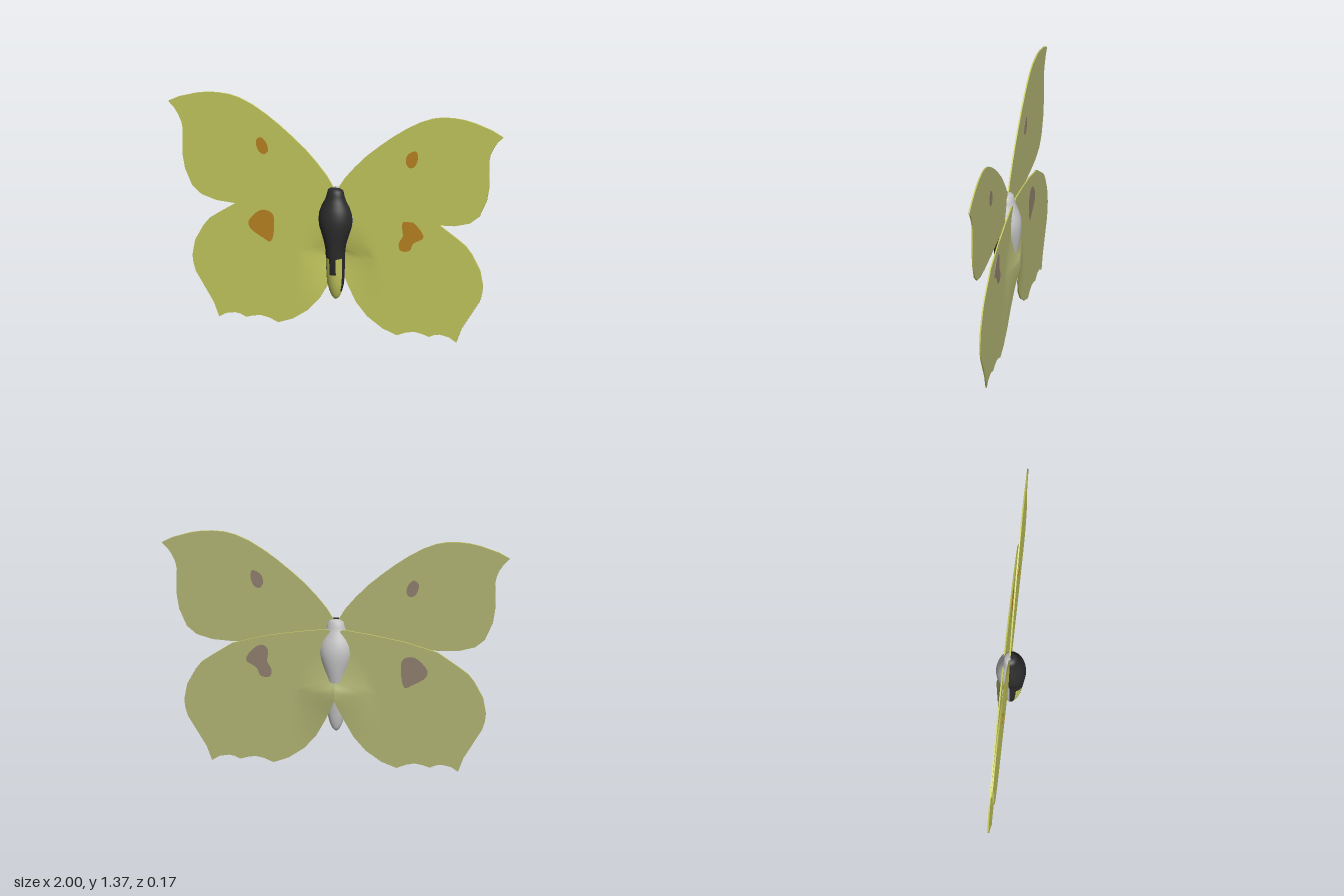
import * as THREE from 'three';

const mat = (name, color) => {
  const m = new THREE.MeshStandardMaterial({ color });
  m.name = name;
  return m;
};

function buildGeometry(positions, groups) {
  const g = new THREE.BufferGeometry();
  g.setAttribute('position', new THREE.Float32BufferAttribute(positions, 3));
  g.setIndex(groups.flat());
  let start = 0;
  groups.forEach((list, i) => {
    g.addGroup(start, list.length, i);
    start += list.length;
  });
  g.computeVertexNormals();
  return g;
}

// Thin sheet: rings grow from an inner pole to the clockwise outline; front, back and rim.
function wingGeometry(outline, pole, zFront, thickness, side, bend, rings = 14) {
  const n = outline.length, pos = [], front = [], back = [];
  const quad = (list, a, b, c, d, flip) =>
    list.push(...(flip ? [a, c, b, a, d, c] : [a, b, c, a, c, d]));
  const point = (i, t, z) => {
    const x = pole[0] + (outline[i][0] - pole[0]) * t;
    const y = pole[1] + (outline[i][1] - pole[1]) * t;
    pos.push(x * side, y, z + bend(x, y));
  };
  [zFront, zFront - thickness].forEach((z, face) => {
    const base = pos.length / 3;
    for (let j = 0; j <= rings; j++) for (let i = 0; i < n; i++) point(i, j / rings, z);
    for (let j = 0; j < rings; j++) for (let i = 0; i < n; i++) {
      const a = base + j * n + i, b = base + j * n + (i + 1) % n;
      quad(face ? back : front, a, b, b + n, a + n, (side < 0) !== (face === 1));
    }
  });
  const rim = pos.length / 3;
  for (const z of [zFront, zFront - thickness]) for (let i = 0; i < n; i++) point(i, 1, z);
  for (let i = 0; i < n; i++) {
    const a = rim + i, b = rim + (i + 1) % n;
    quad(front, a, b, b + n, a + n, side < 0);
  }
  return buildGeometry(pos, [front, back]);
}

// Small rounded patch plate
function spot(points, side, z, material, name) {
  const curve = new THREE.CatmullRomCurve3(
    points.map(([x, y]) => new THREE.Vector3(x * side, y, 0)), true);
  const shape = new THREE.Shape(curve.getPoints(28).slice(0, -1).map(p => new THREE.Vector2(p.x, p.y)));
  const mesh = new THREE.Mesh(
    new THREE.ExtrudeGeometry(shape, { depth: 0.002, bevelEnabled: false }), material);
  mesh.position.z = z;
  mesh.name = name;
  return mesh;
}

const foreOutline = [
  [0, 0.711], [0, 0.85], [0.02, 0.88], [0.053, 0.935], [0.11, 1.005], [0.18, 1.08], [0.256, 1.147],
  [0.34, 1.215], [0.417, 1.27], [0.5, 1.32], [0.578, 1.353], [0.64, 1.367], [0.706, 1.37],
  [0.77, 1.366], [0.834, 1.353], [0.936, 1.32], [1, 1.285], [0.965, 1.25], [0.94, 1.21],
  [0.922, 1.17], [0.914, 1.13], [0.916, 1.05], [0.914, 0.97], [0.9, 0.89], [0.856, 0.79],
  [0.8, 0.743], [0.71, 0.717], [0.604, 0.711], [0.3, 0.711],
];
const hindOutline = [
  [0, 0.8], [0.05, 0.82], [0.2, 0.8], [0.4, 0.765], [0.59, 0.711], [0.71, 0.63], [0.765, 0.59],
  [0.8, 0.545], [0.85, 0.45], [0.866, 0.358], [0.86, 0.31], [0.845, 0.26], [0.79, 0.17],
  [0.738, 0.085], [0.706, 0], [0.663, 0.027], [0.61, 0.037], [0.578, 0.032], [0.545, 0.016],
  [0.5, 0.03], [0.455, 0.037], [0.406, 0.027], [0.353, 0.005], [0.267, 0.037], [0.176, 0.1],
  [0.107, 0.18], [0.053, 0.28], [0.025, 0.34], [0, 0.4], [0, 0.44], [0, 0.48], [0, 0.52], [0, 0.65],
];

// Patches differ slightly between the left (+x) and right wings
const spots = {
  1: {
    fore: [[0.425, 1.11], [0.455, 1.138], [0.482, 1.143], [0.49, 1.1], [0.47, 1.05], [0.44, 1.04], [0.42, 1.065]],
    hind: [[0.385, 0.68], [0.41, 0.708], [0.45, 0.7], [0.513, 0.615], [0.45, 0.57], [0.428, 0.524], [0.374, 0.52], [0.366, 0.565], [0.39, 0.61]],
  },
  [-1]: {
    fore: [[0.476, 1.105], [0.449, 1.128], [0.417, 1.1], [0.406, 1.05], [0.428, 1.027], [0.46, 1.043]],
    hind: [[0.53, 0.6], [0.455, 0.675], [0.392, 0.662], [0.378, 0.6], [0.4, 0.49], [0.444, 0.508], [0.522, 0.56]],
  },
};

// Hind wing swells backwards around the abdomen
const swellProfile = [[0.08, 0], [0.2, 0.17], [0.3, 0.5], [0.4, 0.9], [0.47, 1], [0.53, 0]];
function hindBend(x, y) {
  let f = 0;
  for (let i = 1; i < swellProfile.length; i++) {
    const [y0, a] = swellProfile[i - 1], [y1, b] = swellProfile[i];
    if (y >= y0 && y <= y1) f = a + (b - a) * (y - y0) / (y1 - y0);
  }
  return -0.04 * f * Math.max(0, 1 - x / 0.22);
}

// Body stations: height, half width, front depth, back depth
const stations = [
  [0.872, 0, 0, 0], [0.87, 0.03, 0.028, 0.028], [0.858, 0.046, 0.04, 0.038], [0.83, 0.052, 0.045, 0.043],
  [0.8, 0.062, 0.054, 0.05], [0.76, 0.083, 0.07, 0.065], [0.72, 0.096, 0.082, 0.077],
  [0.68, 0.1, 0.088, 0.082], [0.64, 0.094, 0.089, 0.081], [0.59, 0.078, 0.085, 0.076],
  [0.54, 0.063, 0.08, 0.068], [0.5, 0.057, 0.076, 0.06], [0.46, 0.055, 0.072, 0.052],
  [0.41, 0.054, 0.066, 0.044], [0.36, 0.053, 0.06, 0.038], [0.3, 0.049, 0.049, 0.033],
  [0.25, 0.037, 0.034, 0.026], [0.22, 0.024, 0.021, 0.019], [0.205, 0.012, 0.011, 0.01], [0.198, 0, 0, 0],
];
function bodyGeometry(segments = 36) {
  const pos = [], dark = [], pale = [], tail = [];
  for (const [y, w, f, b] of stations) for (let i = 0; i < segments; i++) {
    const a = i / segments * Math.PI * 2, c = Math.cos(a);
    pos.push(Math.sin(a) * w, y, c * (c > 0 ? f : b));
  }
  for (let j = 0; j < stations.length - 1; j++) for (let i = 0; i < segments; i++) {
    const k = (i + 1) % segments, y = (stations[j][0] + stations[j + 1][0]) / 2;
    const angle = 180 - Math.abs(180 - (i + 0.5) / segments * 360);
    const inTail = y < 0.46 && (angle < 60 || y < 0.25) && !(angle < 20 && y > 0.36);
    const list = angle > 90 ? pale : inTail ? tail : dark;
    const a = j * segments + i, b = j * segments + k;
    list.push(a, a + segments, b + segments, a, b + segments, b);
  }
  return buildGeometry(pos, [dark, pale, tail]);
}

export function createModel() {
  const yellow = mat('wing yellow', 0xc6ca5e), olive = mat('underside olive', 0xb0b472);
  const orange = mat('spot orange', 0xbb8423), brown = mat('underside spot brown', 0x8f7f6d);
  const black = mat('body black', 0x2b2b2b), grey = mat('body grey', 0xc4c4c4);
  const model = new THREE.Group();
  model.name = 'butterfly';

  const body = new THREE.Mesh(bodyGeometry(), [black, grey, yellow]);
  body.name = 'body';
  model.add(body);

  for (const side of [1, -1]) {
    const label = side > 0 ? 'left' : 'right';
    const wings = [
      ['ForeWing', foreOutline, [0.45, 1], 0, 0.008, () => 0, spots[side].fore],
      ['HindWing', hindOutline, [0.35, 0.42], -0.034, 0.008, hindBend, spots[side].hind],
    ];
    for (const [part, outline, pole, z, thick, bend, patch] of wings) {
      const group = new THREE.Group();
      group.name = label + part;
      const sheet = new THREE.Mesh(wingGeometry(outline, pole, z, thick, side, bend), [yellow, olive]);
      sheet.name = label + part + 'Sheet';
      group.add(sheet,
        spot(patch, side, z, orange, label + part + 'FrontSpot'),
        spot(patch, side, z - thick - 0.002, brown, label + part + 'BackSpot'));
      model.add(group);
    }
  }
  return model;
}
